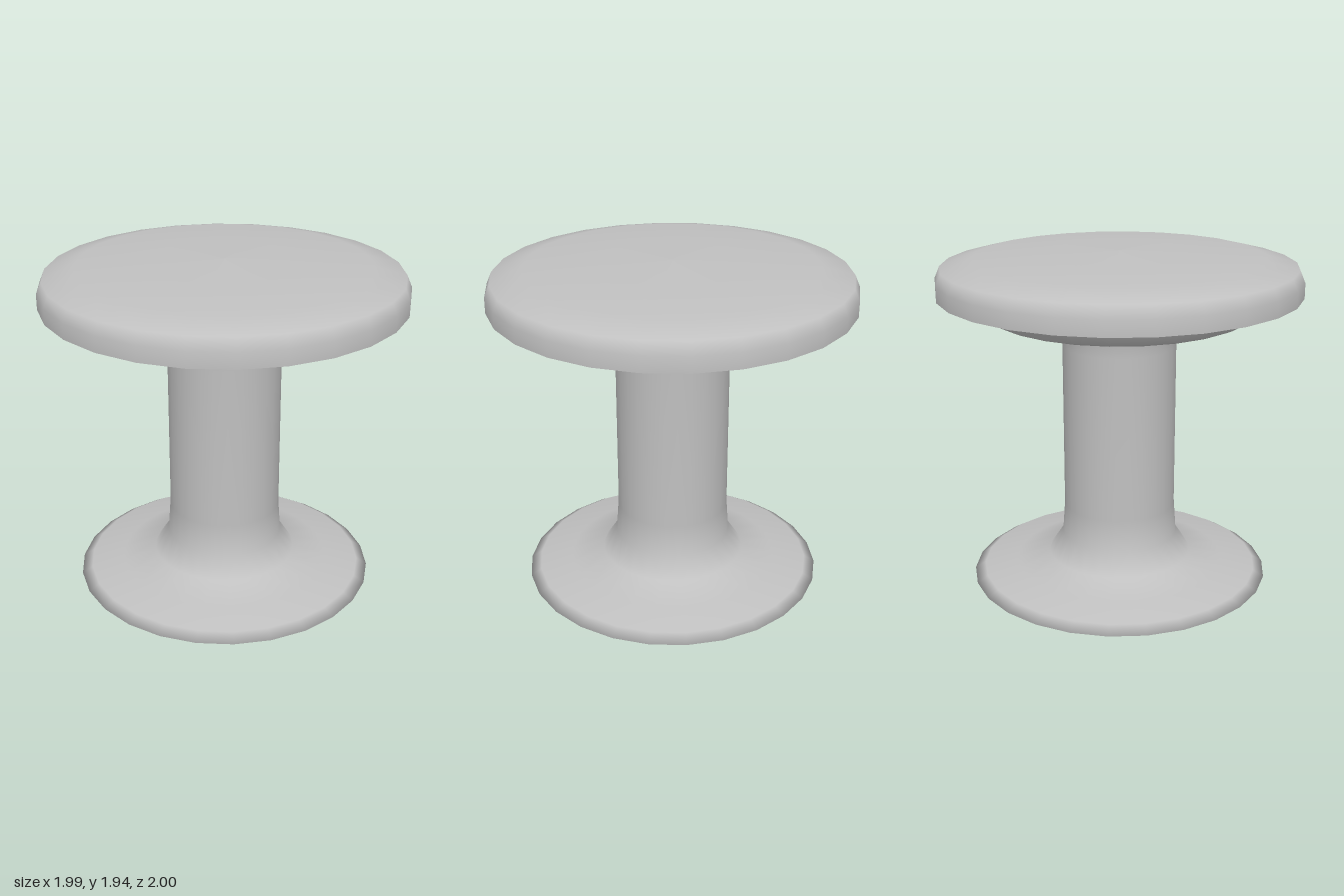
import * as THREE from 'three';

const SIDES = 26;

// Smooth revolved part; profile runs [radius, height] from the bottom outward and up
function revolve(name, profile, material) {
  const points = profile.map(([r, y]) => new THREE.Vector2(r, y));
  const mesh = new THREE.Mesh(new THREE.LatheGeometry(points, SIDES), material);
  mesh.name = name;
  return mesh;
}

export function createModel() {
  const grey = new THREE.MeshStandardMaterial({ color: 0xc0c0c0 });
  grey.name = 'plain grey';

  const stool = new THREE.Group();
  stool.name = 'stool';

  // Nearly flat underside of the foot
  stool.add(revolve('footUnderside', [[0, 0], [0.5, 0.01], [0.77, 0.024]], grey));

  // Foot rim flaring into the column and meeting the seat support
  stool.add(revolve('footAndColumn', [
    [0.77, 0.024], [0.85, 0.065], [0.79, 0.102], [0.6, 0.13], [0.41, 0.18],
    [0.33, 0.3], [0.317, 0.48], [0.317, 1.42], [0.333, 1.57], [0.36, 1.592],
  ], grey));

  // Stepped dish below the seat
  stool.add(revolve('seatSupport', [
    [0.33, 1.588], [0.7, 1.592], [0.74, 1.61], [0.775, 1.665],
    [0.8, 1.697], [0.85, 1.713], [1, 1.715],
  ], grey));

  // Seat with a rounded shoulder and slightly domed top
  stool.add(revolve('seat', [
    [1, 1.715], [1, 1.8], [0.972, 1.865], [0.8, 1.91], [0.4, 1.927], [0, 1.94],
  ], grey));

  return stool;
}
